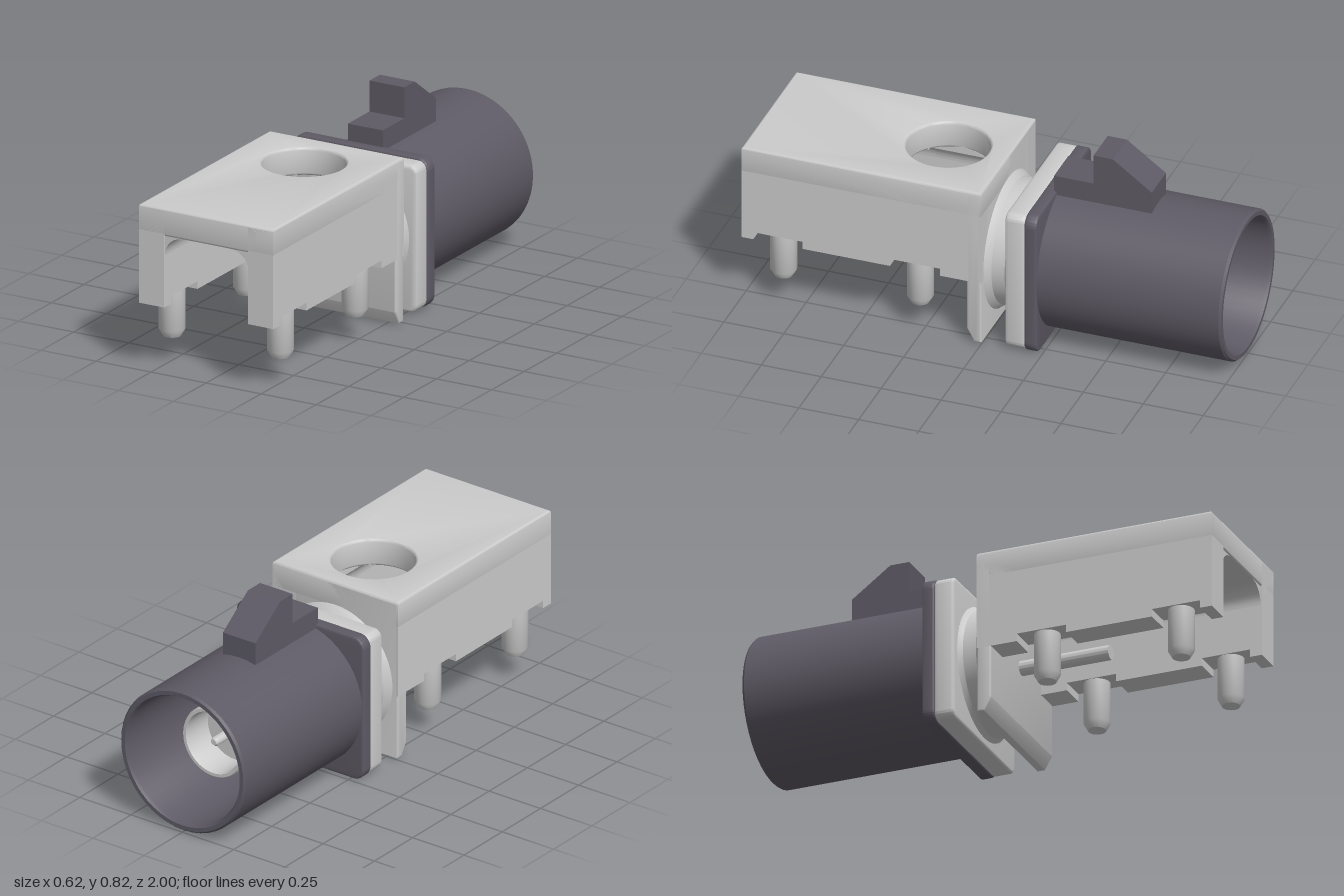
import * as THREE from 'three';
import { toCreasedNormals } from 'three/addons/utils/BufferGeometryUtils.js';

const metal = new THREE.MeshStandardMaterial({ color: 0xcbcbcb });
metal.name = 'light grey metal';
const plastic = new THREE.MeshStandardMaterial({ color: 0x5e5a65 });
plastic.name = 'dark grey plastic';

const AXIS_Y = 0.312; // height of the connector axis

export function createModel() {
  const model = new THREE.Group();
  model.name = 'rightAngleConnector';

  const add = (name, geometry, material) => {
    const mesh = new THREE.Mesh(toCreasedNormals(geometry, 0.55), material);
    mesh.name = name;
    model.add(mesh);
    return mesh;
  };

  const polygon = (points) => new THREE.Shape(points.map(([x, y]) => new THREE.Vector2(x, y)));

  // Extrusion with edges rounded inside the given outline and depth
  const extrude = (shape, depth, bevel = 0) => {
    const g = new THREE.ExtrudeGeometry(shape, {
      depth: depth - 2 * bevel, curveSegments: 24, bevelEnabled: bevel > 0,
      bevelSize: bevel, bevelThickness: bevel, bevelOffset: -bevel, bevelSegments: 3,
    });
    return g.translate(0, 0, bevel);
  };

  // Side profile of [z, y] points swept from x0 to x1
  const sweepX = (points, x0, x1, bevel = 0) =>
    extrude(polygon(points.map(([z, y]) => [-z, y])), x1 - x0, bevel)
      .rotateY(Math.PI / 2).translate(x0, 0, 0);

  // Turned part of [radius, distance towards the back] points on the connector axis
  const turned = (points) =>
    new THREE.LatheGeometry(points.map(([r, t]) => new THREE.Vector2(r, t)), 48)
      .rotateX(-Math.PI / 2).translate(0, AXIS_Y, 0);

  const roundedSquare = (w, h, r) => {
    const s = new THREE.Shape();
    s.moveTo(-w + r, -h);
    s.lineTo(w - r, -h);
    s.absarc(w - r, -h + r, r, -Math.PI / 2, 0);
    s.absarc(w - r, h - r, r, 0, Math.PI / 2);
    s.absarc(-w + r, h - r, r, Math.PI / 2, Math.PI);
    s.absarc(-w + r, -h + r, r, Math.PI, Math.PI * 1.5);
    return s;
  };

  // Housing roof with its round opening
  const roof = polygon([[-0.305, -1], [0.305, -1], [0.305, 0], [-0.305, 0]]);
  const opening = new THREE.Path();
  opening.absarc(0, -0.25, 0.167, 0, Math.PI * 2, true);
  roof.holes.push(opening);
  add('housingRoof', extrude(roof, 0.115, 0.01).rotateX(-Math.PI / 2).translate(0, 0.575, 0), metal);

  // Housing side walls, notched around the legs
  const wall = [
    [0, 0.28], [0.17, 0.28], [0.17, 0.312], [0.38, 0.312], [0.38, 0.28], [0.745, 0.28],
    [0.745, 0.312], [0.95, 0.312], [0.95, 0.28], [1, 0.28], [1, 0.68], [0, 0.68],
  ];
  add('leftWall', sweepX(wall, 0.19, 0.305), metal);
  add('rightWall', sweepX(wall, -0.305, -0.19), metal);

  // Rounded inner corners of the arch, cut back beside the round opening
  const cornerShape = (side, startX) => {
    const pts = [[0.2, 0.585], [startX, 0.585]];
    const a0 = Math.acos((startX - 0.11) / 0.08);
    for (let i = 0; i <= 10; i++) {
      const a = a0 * (1 - i / 10);
      pts.push([0.11 + 0.08 * Math.cos(a), 0.495 + 0.08 * Math.sin(a)]);
    }
    pts.push([0.2, 0.495]);
    return polygon(pts.map(([x, y]) => [side * x, y]));
  };
  for (const side of [-1, 1]) {
    for (const [z0, z1, startX] of [[0.02, 0.127, 0.11], [0.127, 0.373, 0.167], [0.373, 0.995, 0.11]]) {
      add('archCorner', extrude(cornerShape(side, startX), z1 - z0).translate(0, 0, z0), metal);
    }
  }

  // Rear plate with a chamfered foot
  add('rearPlate', sweepX(
    [[0, 0.008], [0.03, 0.008], [0.06, 0.062], [0.06, 0.68], [0, 0.68]], -0.305, 0.305, 0.008), metal);

  // Four solder legs
  const legProfile = [[0, 0.11], [0.036, 0.11], [0.053, 0.14], [0.053, 0.33], [0, 0.33]]
    .map(([r, y]) => new THREE.Vector2(r, y));
  for (const x of [-0.246, 0.246]) {
    for (const z of [0.275, 0.845]) {
      add('solderLeg', new THREE.LatheGeometry(legProfile, 32).translate(x, 0, z), metal);
    }
  }

  // Centre contact reaching into the housing
  add('contactPin', turned([[0, -0.44], [0.03, -0.44], [0.03, 0]]), metal);

  // Neck and the two square flanges
  add('neck', turned([[0.283, -0.005], [0.27, 0.012], [0.256, 0.025], [0.256, 0.08], [0.265, 0.093], [0.28, 0.105]]), metal);
  add('metalFlange', extrude(roundedSquare(0.304, 0.304, 0.035), 0.085, 0.012)
    .translate(0, AXIS_Y, -0.183), metal);
  add('plasticFlange', extrude(roundedSquare(0.31, 0.31, 0.05), 0.052, 0.008)
    .translate(0, AXIS_Y, -0.232), plastic);

  // Hollow socket barrel
  add('socketBarrel', turned([
    [0.305, 0.2], [0.305, 0.99], [0.297, 1], [0.28, 1], [0.272, 0.985], [0.272, 0.3], [0, 0.3],
  ]), plastic);

  // Shield tube and contact inside the socket
  add('shieldTube', turned([
    [0.15, 0.29], [0.15, 0.79], [0.145, 0.8], [0.132, 0.8], [0.128, 0.79], [0.128, 0.66], [0, 0.66],
  ]), metal);
  add('socketContact', turned([[0.019, 0.65], [0.019, 0.785], [0.012, 0.795], [0, 0.795]]), metal);

  // Latch on top of the barrel
  add('latch', sweepX([
    [-0.22, 0.588], [-0.22, 0.692], [-0.385, 0.692], [-0.385, 0.82],
    [-0.465, 0.82], [-0.628, 0.702], [-0.628, 0.588],
  ], -0.079, 0.079), plastic);

  return model;
}
